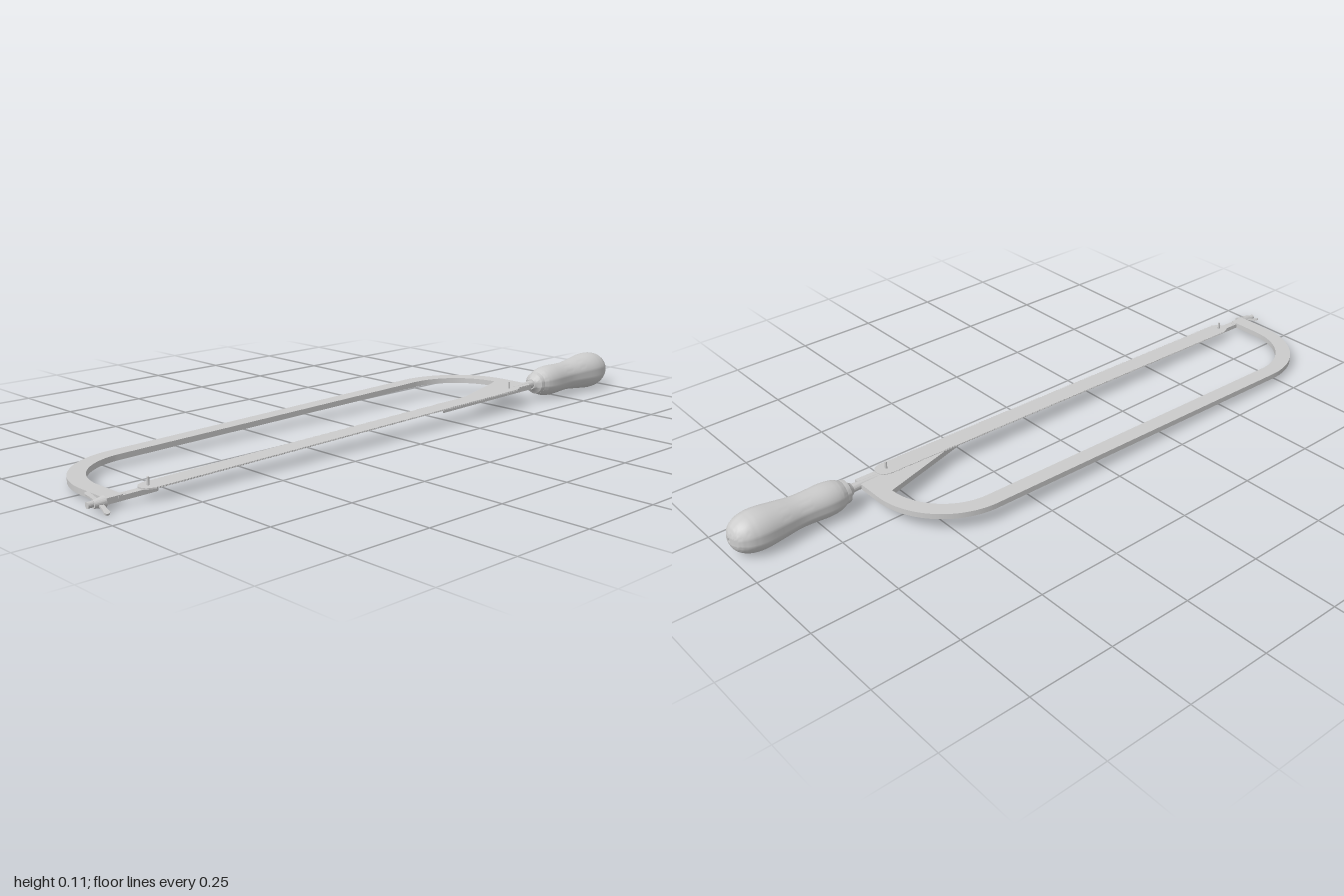
import * as THREE from 'three';
import { toCreasedNormals } from 'three/addons/utils/BufferGeometryUtils.js';

const material = new THREE.MeshStandardMaterial({ color: 0xcccccc });

export function createModel() {
  const model = new THREE.Group();
  model.name = 'bowSaw';
  const saw = new THREE.Group();
  saw.name = 'saw';
  model.add(saw);

  const add = (name, geometry, x = 0, y = 0, z = 0, parent = saw) => {
    const mesh = new THREE.Mesh(geometry, material);
    mesh.name = name;
    mesh.position.set(x, y, z);
    parent.add(mesh);
    return mesh;
  };
  // Plate drawn in x and z, centred vertically on y = 0
  const plate = (shape, thickness) => {
    const g = new THREE.ExtrudeGeometry(shape, { depth: thickness, bevelEnabled: false, curveSegments: 24 });
    g.translate(0, 0, -thickness / 2).rotateX(Math.PI / 2);
    return toCreasedNormals(g, 0.5);
  };
  // Turned part along z, from [radius, z] pairs with descending z
  const turned = (points, segments = 32) => {
    const g = new THREE.LatheGeometry(points.map(([r, z]) => new THREE.Vector2(r, -z)), segments);
    return toCreasedNormals(g.rotateX(-Math.PI / 2), 0.6);
  };

  // D-shaped flat frame with two rounded corners
  const PI = Math.PI, R = 0.227, r = 0.18, cx = 0.04, back = -0.383, front = 0.723;
  const bow = new THREE.Shape();
  bow.moveTo(0.148, back - R);
  bow.lineTo(cx, back - R);
  bow.absarc(cx, back, R, -PI / 2, -PI, true);
  bow.absarc(cx, front, R, PI, PI / 2, true);
  bow.lineTo(0.148, front + R);
  bow.lineTo(0.148, front + r);
  bow.lineTo(cx, front + r);
  bow.absarc(cx, front, r, PI / 2, PI, false);
  bow.absarc(cx, back, r, -PI, -PI / 2, false);
  bow.lineTo(0.148, back + r);
  add('frame', plate(bow, 0.016));

  // Thin blade with fine teeth on both edges and rounded tongues at the ends
  const bx = 0.138, half = 0.03, z0 = -0.525, z1 = 0.825, teeth = 150;
  const step = (z1 - z0) / teeth;
  const blade = new THREE.Shape();
  blade.moveTo(bx + half - 0.003, z0);
  for (let i = 0; i < teeth; i++) {
    blade.lineTo(bx + half, z0 + (i + 0.6) * step);
    blade.lineTo(bx + half - 0.003, z0 + (i + 1) * step);
  }
  blade.quadraticCurveTo(bx + 0.022, z1 + 0.025, bx, z1 + 0.025);
  blade.quadraticCurveTo(bx - 0.022, z1 + 0.025, bx - half + 0.003, z1);
  for (let i = teeth; i > 0; i--) {
    blade.lineTo(bx - half, z0 + (i - 0.4) * step);
    blade.lineTo(bx - half + 0.003, z0 + (i - 1) * step);
  }
  blade.quadraticCurveTo(bx - 0.022, z0 - 0.022, bx, z0 - 0.022);
  blade.quadraticCurveTo(bx + 0.022, z0 - 0.022, bx + half - 0.003, z0);
  add('blade', plate(blade, 0.004), 0, 0.008, 0);

  // Blade holders: a flat tongue under each blade end, with an upright peg
  for (const [side, pegZ, dir] of [['back', -0.515, -1], ['front', 0.825, 1]]) {
    const tongue = new THREE.Shape();
    const tip = pegZ - dir * 0.012, end = pegZ + dir * 0.09;
    tongue.moveTo(bx - 0.011, end);
    tongue.lineTo(bx - 0.011, tip);
    tongue.quadraticCurveTo(bx - 0.011, tip - dir * 0.014, bx, tip - dir * 0.014);
    tongue.quadraticCurveTo(bx + 0.011, tip - dir * 0.014, bx + 0.011, tip);
    tongue.lineTo(bx + 0.011, end);
    add(side + 'BladeHolder', plate(tongue, 0.013), 0, -0.001, 0);
    add(side + 'BladePeg', new THREE.CylinderGeometry(0.0035, 0.0035, 0.034, 12), bx, 0.014, pegZ);
  }

  // Threaded tension rod and wing nut at the front
  add('tensionRod', turned([[0, 0.997], [0.008, 0.995], [0.008, 0.89], [0, 0.89]], 16), bx, 0, 0);
  const nut = new THREE.Group();
  nut.name = 'wingNut';
  nut.position.set(0.14, -0.001, 0.965);
  nut.rotation.z = -0.33;
  saw.add(nut);
  add('nutHub', turned([[0, 0.015], [0.01, 0.015], [0.015, -0.015], [0, -0.015]], 20), 0, 0, 0, nut);
  for (const s of [-1, 1]) {
    const wing = new THREE.Shape();
    wing.moveTo(s * 0.006, -0.006);
    wing.bezierCurveTo(s * 0.02, -0.006, s * 0.03, -0.004, s * 0.044, -0.004);
    wing.bezierCurveTo(s * 0.052, 0.002, s * 0.05, 0.012, s * 0.04, 0.011);
    wing.quadraticCurveTo(s * 0.025, 0.005, s * 0.006, 0.006);
    add(s < 0 ? 'rightWing' : 'leftWing', plate(wing, 0.005), 0, 0, 0, nut);
  }

  // Tang between frame and handle
  const hx = 0.127;
  add('tang', turned([[0, -0.55], [0.01, -0.55], [0.011, -0.6], [0.014, -0.66], [0, -0.66]], 20), hx, 0, 0);
  // Ferrule
  add('ferrule', turned([[0, -0.636], [0.016, -0.636], [0.021, -0.645], [0.032, -0.652],
    [0.034, -0.658], [0.034, -0.672], [0, -0.672]]), hx, 0, 0);

  // Turned grip with a slim waist and a bulbous end
  const grip = new THREE.SplineCurve([[0.034, -0.665], [0.043, -0.685], [0.047, -0.72], [0.045, -0.77],
    [0.045, -0.81], [0.051, -0.86], [0.057, -0.915], [0.053, -0.955], [0.038, -0.984], [0.018, -0.997],
    [0.006, -0.999]].map(([a, b]) => new THREE.Vector2(a, b)));
  add('handle', turned([[0, -0.665], ...grip.getPoints(44).map(p => [p.x, p.y]), [0.006, -0.996], [0, -0.996]], 40), hx, 0, 0);

  // The saw rests on its grip and tilts down towards the nut
  saw.rotation.x = 0.0194;
  saw.position.y = 0.042;
  return model;
}
